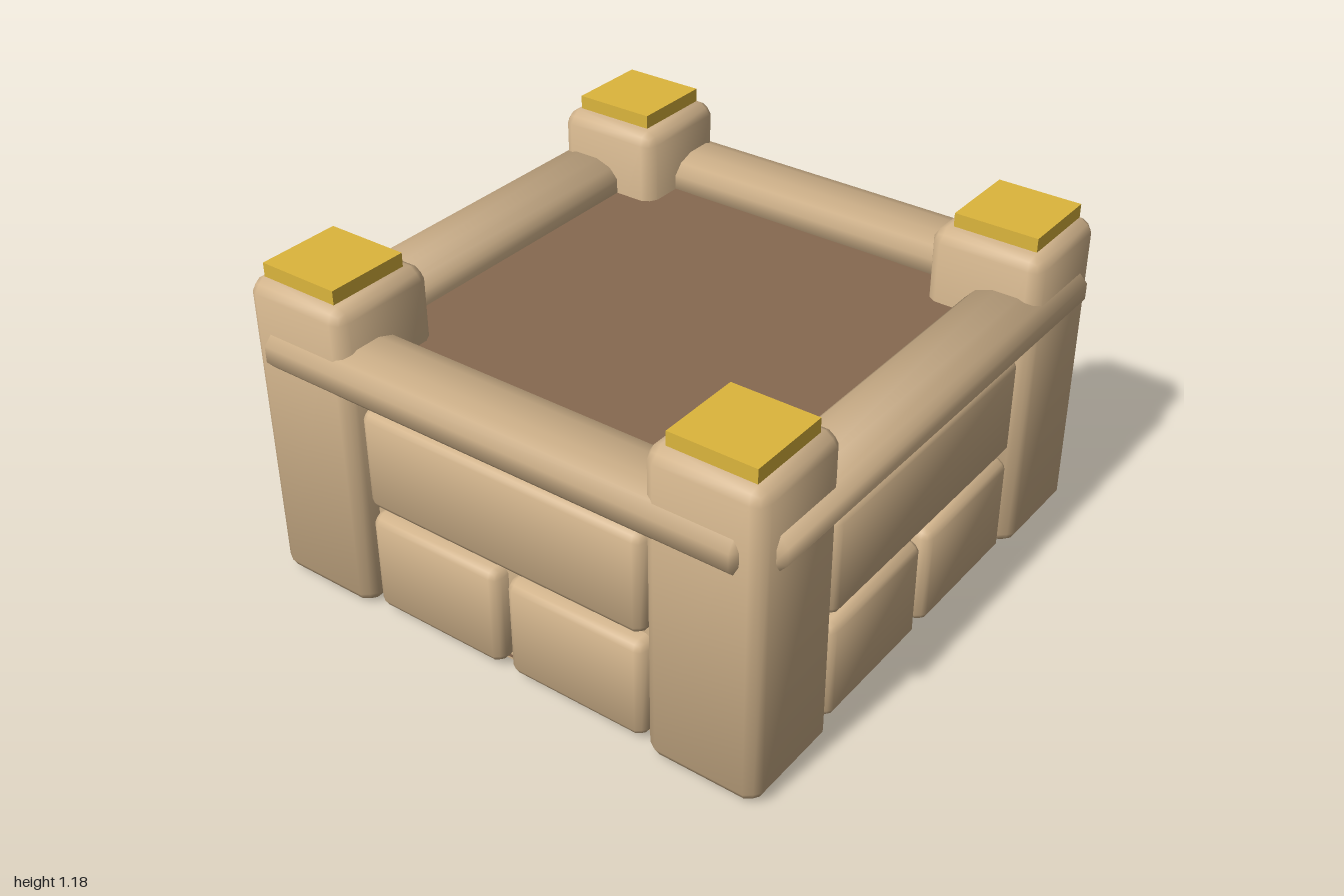
import * as THREE from 'three';

const stone = new THREE.MeshStandardMaterial({ color: 0xd2b48c });
stone.name = 'sandstone';
const earth = new THREE.MeshStandardMaterial({ color: 0x876950 });
earth.name = 'earth';
const gold = new THREE.MeshStandardMaterial({ color: 0xdcb53c });
gold.name = 'gold';

// Soft box: bevelled edges, with normals tilted at face corners so faces look pillowed.
function softBox(size, radius) {
  const geo = new THREE.BoxGeometry(1, 1, 1, 3, 3, 3);
  const pos = geo.attributes.position;
  const nor = geo.attributes.normal;
  const r = new THREE.Vector3(...radius);
  const inner = new THREE.Vector3(...size).multiplyScalar(0.5).sub(r);
  const reach = 3 / Math.sqrt(11); // how far the flat faces bulge per unit radius
  const n = new THREE.Vector3();
  const p = new THREE.Vector3();
  for (let i = 0; i < pos.count; i++) {
    n.fromBufferAttribute(pos, i).normalize();
    p.set(Math.sign(n.x), Math.sign(n.y), Math.sign(n.z)).multiply(inner);
    p.x += n.x * r.x / reach;
    p.y += n.y * r.y / reach;
    p.z += n.z * r.z / reach;
    pos.setXYZ(i, p.x, p.y, p.z);
    n.divide(r).normalize();
    nor.setXYZ(i, n.x, n.y, n.z);
  }
  return geo;
}

function add(parent, name, geo, mat, x, y, z) {
  const mesh = new THREE.Mesh(geo, mat);
  mesh.name = name;
  mesh.position.set(x, y, z);
  parent.add(mesh);
  return mesh;
}

export function createModel() {
  const model = new THREE.Group();
  model.name = 'stonePlatform';

  // Earth filling, whose top is the floor, on a stone base
  add(model, 'earthCore', new THREE.BoxGeometry(1.76, 0.86, 1.76), earth, 0, 0.44, 0);
  add(model, 'stoneBase', new THREE.BoxGeometry(1.76, 0.008, 1.76), stone, 0, 0.006, 0);

  // Corner posts with gold caps
  const postGeo = softBox([0.405, 1.125, 0.405], [0.065, 0.065, 0.065]);
  const capGeo = new THREE.BoxGeometry(0.3, 0.05, 0.3);
  for (const x of [-1, 1]) {
    for (const z of [-1, 1]) {
      add(model, 'cornerPost', postGeo, stone, x * 0.77, 0.566, z * 0.77);
      add(model, 'goldCap', capGeo, gold, x * 0.778, 1.152, z * 0.776);
    }
  }

  // Four equal walls: two short bricks, one long brick and a rounded rail
  const bevel = [0.045, 0.045, 0.045];
  const shortBrick = softBox([0.53, 0.37, 0.2], bevel);
  const longBrick = softBox([1.095, 0.37, 0.2], bevel);
  const railGeo = softBox([1.83, 0.175, 0.28], [0.045, 0.0875, 0.14]);
  const mortarGeo = new THREE.BoxGeometry(1.14, 0.765, 0.008);
  for (let i = 0; i < 4; i++) {
    const wall = new THREE.Group();
    wall.name = 'wall';
    wall.rotation.y = i * Math.PI / 2;
    for (const x of [-1, 1]) add(wall, 'shortBrick', shortBrick, stone, x * 0.2825, 0.207, 0.85);
    add(wall, 'longBrick', longBrick, stone, 0, 0.607, 0.85);
    add(wall, 'mortar', mortarGeo, stone, 0, 0.4125, 0.883);
    add(wall, 'topRail', railGeo, stone, 0, 0.895, 0.86);
    model.add(wall);
  }
  return model;
}
